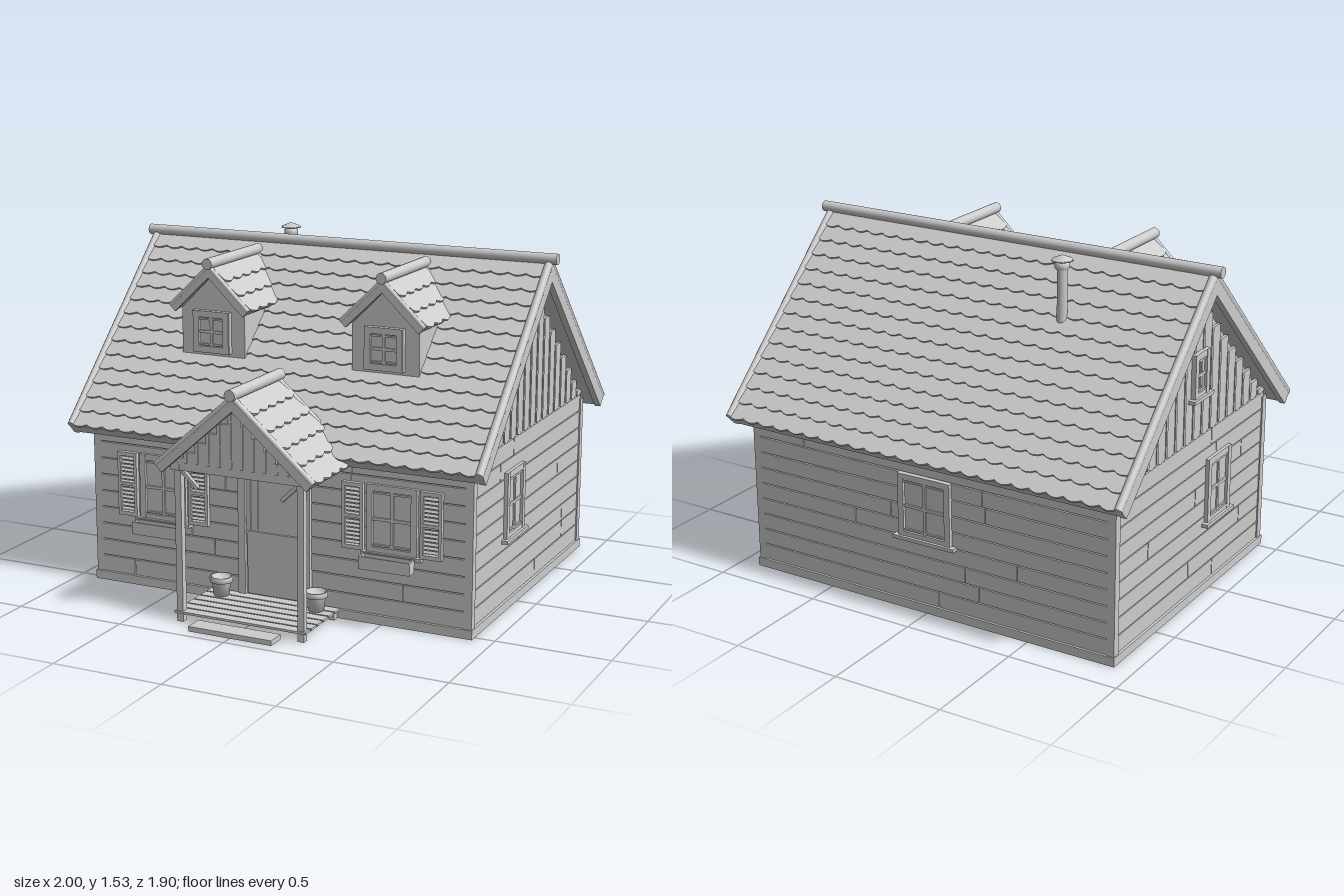
import * as THREE from 'three';

const grey = new THREE.MeshStandardMaterial({ color: 0xcccccc });
grey.name = 'plain grey';

let seed = 7;
const rand = () => (seed = (seed * 16807) % 2147483647) / 2147483647;

function add(parent, name, geometry, x = 0, y = 0, z = 0) {
  const mesh = new THREE.Mesh(geometry, grey);
  mesh.name = name;
  mesh.position.set(x, y, z);
  parent.add(mesh);
  return mesh;
}
const box = (parent, name, w, h, d, x, y, z) => add(parent, name, new THREE.BoxGeometry(w, h, d), x, y, z);
function group(parent, name, x = 0, y = 0, z = 0, turn = 0) {
  const g = new THREE.Group();
  g.name = name;
  g.position.set(x, y, z);
  g.rotation.y = turn;
  parent.add(g);
  return g;
}
const extrude = (points, depth) => new THREE.ExtrudeGeometry(
  new THREE.Shape(points.map(p => new THREE.Vector2(...p))), { depth, bevelEnabled: false });

// Shingle row with a scalloped lower edge, hanging down from y = 0
function shingleRow(width, height) {
  const n = Math.max(2, Math.round(width / 0.08)), steps = 4;
  const points = [[width / 2, 0], [-width / 2, 0]];
  for (let i = 0; i <= n * steps; i++) {
    const dip = Math.abs(Math.sin((i / steps) * Math.PI));
    points.push([-width / 2 + (width * i) / (n * steps), -height + 0.012 - 0.014 * dip]);
  }
  return extrude(points, 0.01);
}

// Gable roof with its ridge along local x and the apex at the origin
function gableRoof(parent, name, { x = 0, y, z, turn = 0, len, run, drop, thick, rows, edge, pole, poleLen }) {
  const roof = group(parent, name, x, y, z, turn);
  const slope = Math.hypot(run, drop), pitch = slope / rows;
  for (const side of [0, 1]) {
    const half = group(roof, 'roofHalf', 0, 0, 0, side * Math.PI);
    const plane = group(half, 'roofSlope');
    plane.rotation.x = -Math.atan2(run, drop);
    box(plane, 'roofDeck', len - 0.02, slope, thick, 0, -slope / 2, -thick / 2);
    for (let i = 0; i < rows; i++) {
      const row = add(plane, 'shingleRow', shingleRow(len - 0.04, pitch * 1.12), 0, -i * pitch, -0.002);
      row.rotation.x = -0.1;
    }
    for (const s of [-1, 1]) {
      const ex = s * (len / 2 - edge);
      box(plane, 'bargeBoard', edge * 1.6, slope, thick + 0.015, ex, -slope / 2, -thick / 2);
      add(plane, 'edgeRoll', new THREE.CylinderGeometry(edge, edge, slope, 12), ex, -slope / 2, 0.005);
    }
  }
  const ridge = add(roof, 'ridgePole', new THREE.CylinderGeometry(pole, pole, poleLen, 16), 0, 0.02, 0);
  ridge.rotation.z = Math.PI / 2;
}

// Staggered horizontal planks on a wall facing local +z
function siding(parent, width, height) {
  const rows = 9, pitch = height / rows;
  for (let i = 0; i < rows; i++) {
    const joint = (rand() - 0.5) * width * 0.8;
    for (const [a, b] of [[-width / 2, joint], [joint, width / 2]])
      box(parent, 'plank', b - a - 0.004, pitch - 0.005, 0.012, (a + b) / 2, (i + 0.5) * pitch, 0.004);
  }
}

// Upright gable boards with stepped tops and pointed lower ends
function gableBoards(parent, half, height, count) {
  const w = (2 * half) / count;
  for (let i = 0; i < count; i++) {
    const a = -half + i * w, b = a + w;
    const top = Math.max(0.02, height * (1 - Math.max(Math.abs(a), Math.abs(b)) / half));
    const l = a + 0.003, r = b - 0.003, m = (a + b) / 2;
    add(parent, 'gableBoard', extrude([[l, 0], [m, -0.012], [r, 0], [r, top], [l, top]], 0.014));
    box(parent, 'batten', 0.014, top, 0.008, a, top / 2, 0.014);
  }
}

// Four-pane window facing local +z, centred on the group origin
function makeWindow(parent, name, x, y, z, turn, w, h, sill = true) {
  const g = group(parent, name, x, y, z, turn), f = 0.028;
  box(g, 'glass', w - f, h - f, 0.012, 0, 0, 0.008);
  for (const s of [-1, 1]) {
    box(g, 'sideCasing', f, h, 0.03, s * (w - f) / 2, 0, 0.012);
    box(g, 'crossCasing', w, f, 0.026, 0, s * (h - f) / 2, 0.012);
    box(g, 'sashRail', w - 2 * f, 0.008, 0.02, 0, s * (h / 2 - f - 0.008), 0.011);
  }
  box(g, 'mullion', 0.013, h - 2 * f, 0.02, 0, 0, 0.011);
  box(g, 'glazingBar', w - 2 * f, 0.013, 0.02, 0, 0, 0.011);
  if (sill) box(g, 'sill', w + 0.045, 0.016, 0.04, 0, -h / 2, 0.018);
  return g;
}

function shutter(parent, x, y, z) {
  const g = group(parent, 'shutter', x, y, z), w = 0.096, h = 0.29;
  for (const s of [-1, 1]) {
    box(g, 'stile', 0.014, h, 0.02, s * (w / 2 - 0.007), 0, 0);
    box(g, 'rail', w, 0.018, 0.02, 0, s * (h / 2 - 0.009), 0);
  }
  box(g, 'middleRail', w, 0.014, 0.02, 0, 0, 0);
  for (let i = 0; i < 14; i++)
    box(g, 'louvre', w - 0.026, 0.013, 0.005, 0, -h / 2 + 0.03 + (i * (h - 0.06)) / 13, 0).rotation.x = -0.6;
}

export function createModel() {
  const house = new THREE.Group();
  house.name = 'cottage';
  const front = 0.517, back = -0.84, mid = (front + back) / 2, ridgeZ = -0.16;

  // Main body with gable ends
  const body = extrude([[-front, 0], [-back, 0], [-back, 0.71], [-ridgeZ, 1.385], [-front, 0.72]], 1.78);
  add(house, 'houseBody', body, -0.89).rotation.y = Math.PI / 2;
  box(house, 'baseSkirt', 1.82, 0.04, 1.39, 0, 0.02, mid);
  siding(group(house, 'frontSiding', 0, 0.04, front), 1.77, 0.68);
  siding(group(house, 'backSiding', 0, 0.04, back, Math.PI), 1.77, 0.66);
  for (const s of [-1, 1]) {
    siding(group(house, 'sideSiding', s * 0.89, 0.04, mid, s * Math.PI / 2), 1.34, 0.71);
    gableBoards(group(house, 'gable', s * 0.89, 0.76, ridgeZ, s * Math.PI / 2), 0.67, 0.63, 17);
    for (const z of [front - 0.008, back + 0.008])
      box(house, 'cornerPost', 0.036, 0.72, 0.036, s * 0.888, 0.37, z);
    makeWindow(house, 'sideWindow', s * 0.89, 0.47, 0.053, s * Math.PI / 2, 0.215, 0.3);
  }
  makeWindow(house, 'gableWindow', -0.898, 1.04, -0.16, -Math.PI / 2, 0.13, 0.2);
  makeWindow(house, 'backWindow', 0, 0.48, back, Math.PI, 0.26, 0.29);

  gableRoof(house, 'mainRoof', { y: 1.47, z: ridgeZ, len: 1.96, run: 0.775, drop: 0.745, thick: 0.05,
    rows: 14, edge: 0.018, pole: 0.024, poleLen: 2 });

  // Front windows with shutters and flower boxes, and the dormers
  for (const s of [-1, 1]) {
    const x = s * 0.548;
    makeWindow(house, 'frontWindow', x, 0.465, front, 0, 0.23, 0.3);
    for (const t of [-1, 1]) shutter(house, x + t * 0.178, 0.468, front + 0.02);
    box(house, 'flowerBoxBase', 0.22, 0.008, 0.05, x, 0.27, 0.593);
    for (const t of [-1, 1]) {
      box(house, 'flowerBoxSide', 0.23, 0.055, 0.008, x, 0.294, 0.593 + t * 0.023);
      box(house, 'flowerBoxEnd', 0.008, 0.055, 0.05, x + t * 0.112, 0.294, 0.593);
      box(house, 'flowerBoxBracket', 0.014, 0.02, 0.07, x + t * 0.07, 0.275, 0.55);
    }

    const dx = s * 0.412;
    const shape = [[-0.155, 0.99], [0.155, 0.99], [0.155, 1.235], [0, 1.39], [-0.155, 1.235]];
    add(house, 'dormerBody', extrude(shape, 0.4), dx, 0, -0.09);
    box(house, 'dormerApron', 0.32, 0.02, 0.02, dx, 1.01, 0.31);
    makeWindow(house, 'dormerWindow', dx, 1.14, 0.31, 0, 0.175, 0.185, false);
    for (const t of [-1, 1]) box(house, 'dormerCasing', 0.02, 0.185, 0.025, dx + t * 0.08, 1.14, 0.32);
    gableRoof(house, 'dormerRoof', { x: dx, y: 1.425, z: 0.125, turn: Math.PI / 2, len: 0.46, run: 0.188,
      drop: 0.18, thick: 0.022, rows: 3, edge: 0.011, pole: 0.024, poleLen: 0.475 });
  }

  // Front door
  const door = group(house, 'frontDoor', 0, 0.04, front);
  box(door, 'doorLeaf', 0.28, 0.58, 0.016, 0, 0.29, 0.008);
  box(door, 'lowerPanel', 0.26, 0.27, 0.012, 0, 0.145, 0.018);
  for (const s of [-1, 1]) {
    box(door, 'doorCasing', 0.034, 0.62, 0.035, s * 0.155, 0.31, 0.014);
    box(door, 'doorStile', 0.02, 0.28, 0.02, s * 0.125, 0.435, 0.014);
    box(door, 'curtain', 0.03, 0.26, 0.008, s * 0.095, 0.43, 0.017);
  }
  box(door, 'doorHead', 0.35, 0.04, 0.04, 0, 0.605, 0.016);
  box(door, 'doorRail', 0.27, 0.014, 0.024, 0, 0.286, 0.014);

  // Porch
  const porch = group(house, 'porch');
  for (let i = 0; i < 6; i++) box(porch, 'floorSlat', 0.62, 0.01, 0.048, 0, 0.042, 0.562 + i * 0.056);
  box(porch, 'step', 0.39, 0.022, 0.085, 0, 0.011, 0.907);
  for (const s of [-1, 1]) {
    box(porch, 'porchPost', 0.03, 0.67, 0.03, s * 0.285, 0.335, 0.845);
    box(porch, 'floorFoot', 0.026, 0.04, 0.026, s * 0.285, 0.02, 0.555);
    box(porch, 'sideBeam', 0.034, 0.035, 0.37, s * 0.285, 0.687, 0.69);
    box(porch, 'brace', 0.016, 0.11, 0.018, s * 0.235, 0.63, 0.845).rotation.z = -s * 0.8;

    // Flower pot
    const pot = [[0, 0], [0.034, 0], [0.042, 0.062], [0.051, 0.062], [0.051, 0.085], [0.042, 0.085],
      [0.04, 0.065], [0, 0.065]].map(p => new THREE.Vector2(...p));
    add(porch, 'flowerPot', new THREE.LatheGeometry(pot, 20), s * 0.228, 0.047, 0.6);
  }
  box(porch, 'frontBeam', 0.62, 0.035, 0.034, 0, 0.687, 0.855);
  add(porch, 'porchGable', extrude([[-0.3, 0.7], [0.3, 0.7], [0, 0.965]], 0.012), 0, 0, 0.848);
  gableBoards(group(porch, 'porchGableBoards', 0, 0.705, 0.86), 0.29, 0.255, 11);
  gableRoof(porch, 'porchRoof', { y: 1.005, z: 0.7, turn: Math.PI / 2, len: 0.42, run: 0.36, drop: 0.315,
    thick: 0.03, rows: 5, edge: 0.013, pole: 0.025, poleLen: 0.45 });

  // Stove pipe
  const pipe = [[0.022, 1.2], [0.022, 1.465], [0.032, 1.475], [0.032, 1.495], [0.022, 1.5], [0.022, 1.506],
    [0.046, 1.506], [0.042, 1.513], [0, 1.53]].map(p => new THREE.Vector2(...p));
  add(house, 'stovePipe', new THREE.LatheGeometry(pipe, 20), -0.385, 0, -0.392);

  return house;
}
